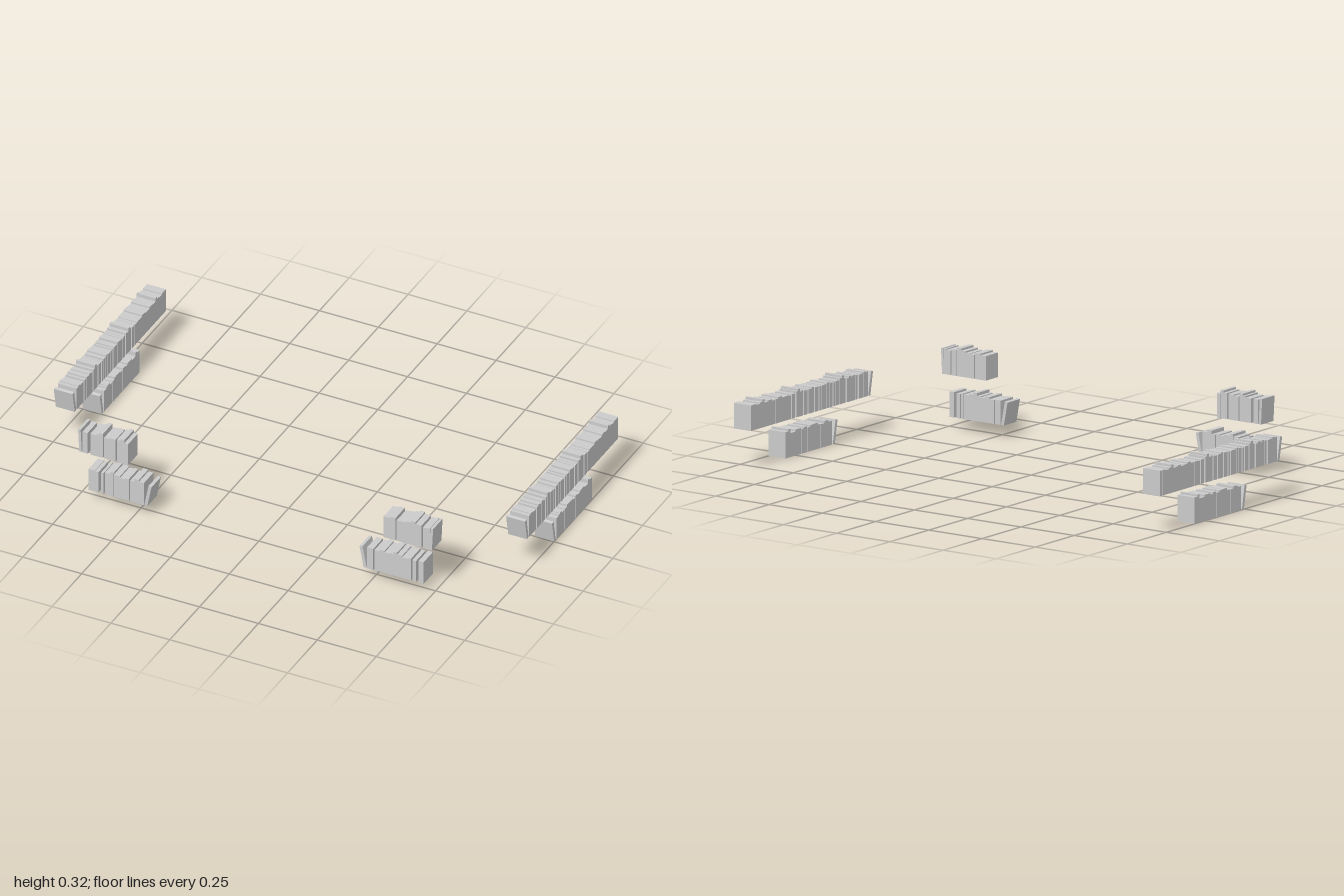
import * as THREE from 'three';

const material = new THREE.MeshStandardMaterial({ color: 0xcccccc, flatShading: true });
const DEPTH = 0.08;

function addBook(row, x, y, width, height, lean = 0) {
  const geometry = new THREE.BoxGeometry(width, height, DEPTH);
  geometry.translate(0, height / 2, 0);
  const book = new THREE.Mesh(geometry, material);
  book.name = lean ? 'leaningBook' : 'book';
  book.position.set(x, y, 0);
  book.rotation.z = lean;
  row.add(book);
}

// A row along local +x. Negative widths are gaps; heights are in thousandths.
function bookRow(name, length, widths, heights) {
  const row = new THREE.Group();
  row.name = name;
  const unit = length / widths.reduce((sum, w) => sum + Math.abs(w), 0);
  let x = 0, n = 0;
  for (const w of widths) {
    const size = Math.abs(w) * unit;
    if (w > 0) addBook(row, x + size / 2, 0, size * 0.985, heights[n++ % heights.length] / 1000);
    x += size;
  }
  return row;
}

// Long row on the side walls
const wallUpper = {
  widths: [5, 5, 5, 5, -3, 4, -1, 4, 5, 5, 4, -3, 4, 4, 4, -2, 8, -2, 3, -2, 6, -1, 5, -1, 8, 3, -2, 3,
    -2, 8, -2, 5, 7, -2, 4, 4, -2, 3, 4, 5, 3, -3, 7, -2, 5, 7, 8, 8, 7, 7, 8, 9, 4, 6, 8, 7, 5],
  heights: [96, 99, 95, 93, 95, 99, 95, 99, 93, 96, 109, 101, 95, 92, 95, 99, 95, 93, 94, 95, 99, 95,
    93, 95, 99, 96, 109, 101, 95, 92, 95, 94, 100, 95, 93, 99, 95, 109, 100, 95, 99, 99],
};
// Short row on the side walls
const wallLower = {
  widths: [7, 3, 7, 7, -1, 6, 10, 7, 6, -1, 7, 6, 7, 6, 7, 4, 4, 7],
  heights: [93, 98, 101, 92, 94, 102, 101, 95, 101, 95, 101, 101, 93, 93, 110, 102, 93],
};

function wallShelves(side) {
  const wall = new THREE.Group();
  wall.name = side > 0 ? 'leftWallBooks' : 'rightWallBooks';
  const upper = bookRow('upperWallRow', 0.751, wallUpper.widths, wallUpper.heights);
  addBook(upper, -0.01, 0.001, 0.013, 0.093, 0.19);
  upper.position.set(0.96 * side, 0.147, 0.21);
  const lower = bookRow('lowerWallRow', 0.299, wallLower.widths, wallLower.heights);
  addBook(lower, -0.012, 0.001, 0.013, 0.093, 0.19);
  lower.position.set(0.96 * side, 0, -0.02);
  for (const row of [upper, lower]) {
    row.rotation.y = Math.PI / 2; // row runs towards the back
    wall.add(row);
  }
  return wall;
}

function placeFrontRow(parent, row, x, y) {
  row.position.set(x, y, 0.502);
  parent.add(row);
}

export function createModel() {
  const model = new THREE.Group();
  model.name = 'shelvedBooks';
  model.add(wallShelves(1), wallShelves(-1));

  // Front rows on the left (+x)
  const leftLower = bookRow('leftFrontLowerRow', 0.24,
    [5, -1, 4, 4, 4, 3, 3, 4, 5, 2, -1, 3, -2, 4], [95, 93, 101, 95, 98, 109, 101, 95, 99, 95, 99, 95]);
  addBook(leftLower, -0.008, 0.001, 0.013, 0.093, 0.19);
  placeFrontRow(model, leftLower, 0.48, 0.047);

  const leftUpper = bookRow('leftFrontUpperRow', 0.197,
    [5, 5, -1, 4, 4, 4, 4, 5, -1, 4, 2], [95, 101, 93, 95, 101, 109, 101, 95, 99]);
  addBook(leftUpper, 0.2, 0, 0.011, 0.1, -0.05);
  placeFrontRow(model, leftUpper, 0.55, 0.21);

  // Front rows on the right (-x)
  const rightLower = bookRow('rightFrontLowerRow', 0.235,
    [5, 3, -2, 2, -1, 4, 3, 5, 4, 3, -1, 3, 4, 4], [95, 93, 95, 99, 109, 101, 95, 99, 95, 109, 101, 95]);
  addBook(rightLower, 0.243, 0.001, 0.013, 0.093, -0.19);
  placeFrontRow(model, rightLower, -0.702, 0.047);

  const rightUpper = bookRow('rightFrontUpperRow', 0.193,
    [4, -2, 5, 2, 3, -1, 4, 5, -1, 3, 3, 3], [95, 95, 101, 109, 95, 99, 101, 109, 95, 95]);
  addBook(rightUpper, -0.009, 0, 0.011, 0.1, 0.05);
  placeFrontRow(model, rightUpper, -0.727, 0.21);

  return model;
}
